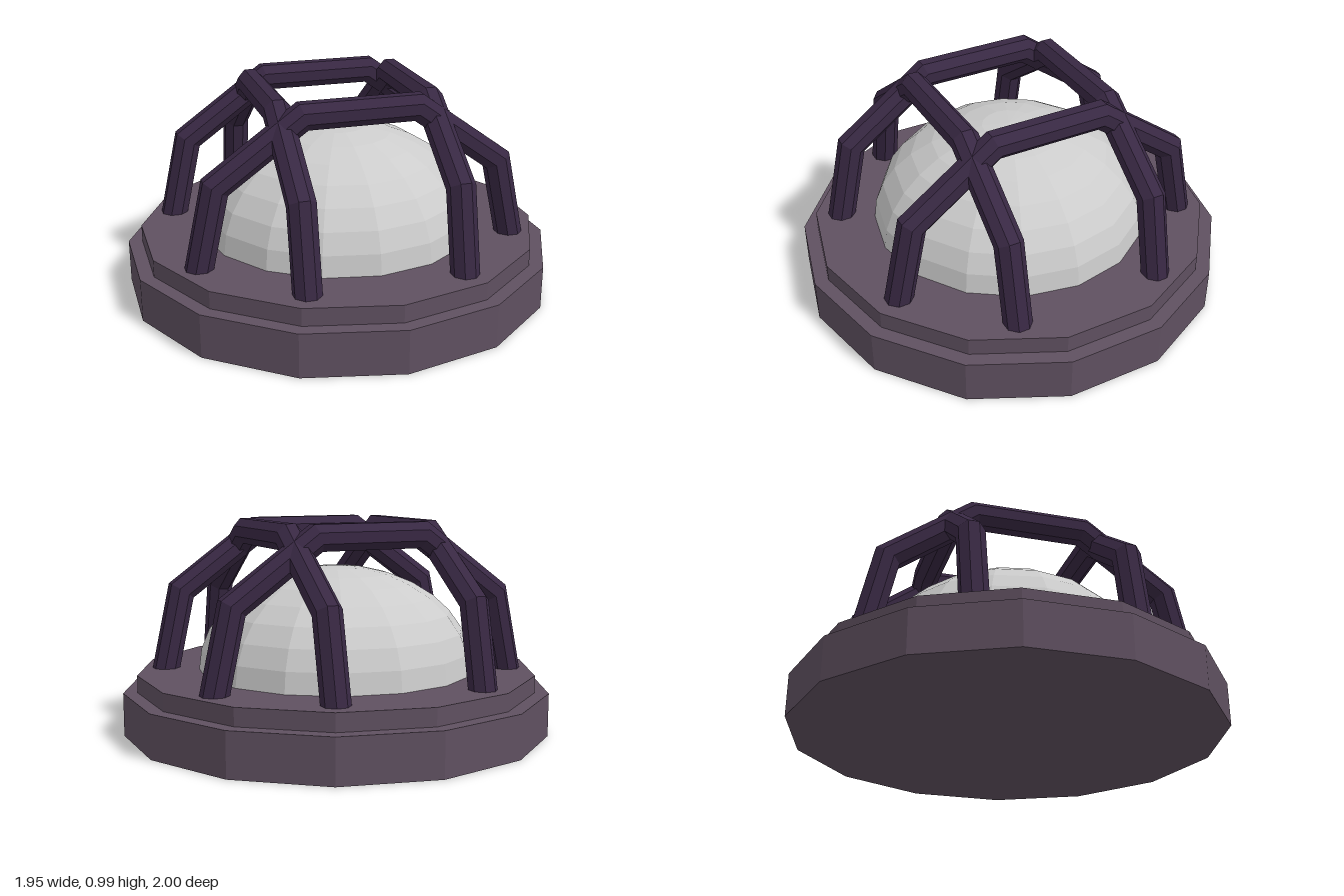
import * as THREE from 'three';

const mat = (color) => new THREE.MeshStandardMaterial({ color, flatShading: true });

function add(group, name, geometry, material, y = 0) {
  const mesh = new THREE.Mesh(geometry, material);
  mesh.name = name;
  mesh.position.y = y;
  group.add(mesh);
  return mesh;
}

// Octagonal bar swept along a flat [x, y] path with mitred bends
function mitredBar(path, apothem, sides = 8) {
  const r = apothem / Math.cos(Math.PI / sides);
  const pts = path.map(([x, y]) => new THREE.Vector2(x, y));
  const positions = [];
  const index = [];
  pts.forEach((p, i) => {
    const a = pts[Math.max(i - 1, 0)];
    const b = pts[Math.min(i + 1, pts.length - 1)];
    const dirIn = (i > 0 ? p : b).clone().sub(i > 0 ? a : p).normalize();
    const dirOut = (i < pts.length - 1 ? b : p).clone().sub(i < pts.length - 1 ? p : a).normalize();
    const t = dirIn.clone().add(dirOut).normalize();
    const n = new THREE.Vector2(-t.y, t.x).divideScalar(t.dot(dirIn));
    for (let k = 0; k < sides; k++) {
      const ang = ((k + 0.5) / sides) * Math.PI * 2;
      const u = r * Math.cos(ang);
      positions.push(p.x + n.x * u, p.y + n.y * u, r * Math.sin(ang));
    }
  });
  for (let i = 0; i < pts.length - 1; i++) {
    for (let k = 0; k < sides; k++) {
      const k2 = (k + 1) % sides;
      const a = i * sides + k, b = i * sides + k2;
      index.push(a, a + sides, b, b, a + sides, b + sides);
    }
  }
  // end caps
  const last = (pts.length - 1) * sides;
  for (let k = 1; k < sides - 1; k++) {
    index.push(0, k, k + 1, last, last + k + 1, last + k);
  }
  const geo = new THREE.BufferGeometry();
  geo.setAttribute('position', new THREE.Float32BufferAttribute(positions, 3));
  geo.setIndex(index);
  geo.computeVertexNormals();
  return geo;
}

export function createModel() {
  const model = new THREE.Group();
  model.name = 'cagedLamp';
  const baseMat = mat(0x5f5060);
  const cageMat = mat(0x382843);
  cageMat.side = THREE.DoubleSide;

  // Stepped fourteen-sided base
  add(model, 'base', new THREE.CylinderGeometry(1, 1, 0.2, 14), baseMat, 0.1);
  add(model, 'baseStep', new THREE.CylinderGeometry(0.935, 0.935, 0.08, 14), baseMat, 0.24);

  // Flattened half-sphere lens
  const dome = new THREE.SphereGeometry(0.65, 16, 8, 0, Math.PI * 2, 0, Math.PI / 2);
  dome.scale(1, 0.49 / 0.65, 1);
  add(model, 'lensDome', dome, mat(0xcccccc), 0.28);

  // Guard cage: two pairs of crossing arches
  const half = [[0.735, 0.26], [0.65, 0.645], [0.26, 0.926]];
  const path = [...half.map(([x, y]) => [-x, y]), ...half.slice().reverse()];
  const arch = mitredBar(path, 0.059);
  const cage = new THREE.Group();
  cage.name = 'guardCage';
  for (const s of [-1, 1]) {
    add(cage, 'crossArch', arch, cageMat).position.z = s * 0.35;
    const side = add(cage, 'lengthArch', arch, cageMat);
    side.rotation.y = Math.PI / 2;
    side.position.x = s * 0.35;
  }
  model.add(cage);
  return model;
}
